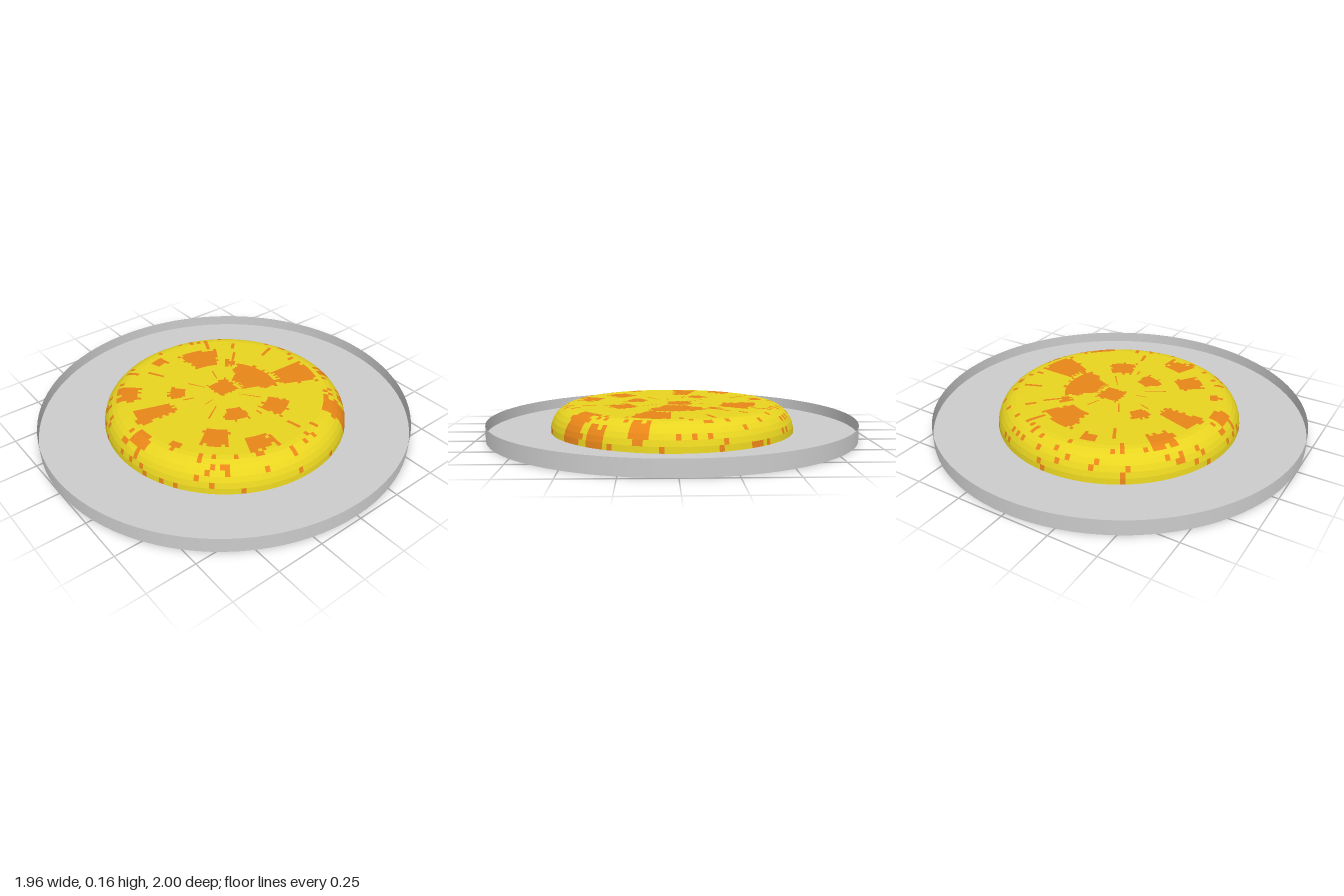
import * as THREE from 'three';

const SEGMENTS = 160, FLAT_RINGS = 27, RIM_RINGS = 7;
const FLAT_RADIUS = 0.525, RIM_WIDTH = 0.125, TOP = 0.157, FLOOR = 0.02;

// Browned patches: x, z, half width across the radius, half length along it
const patches = [
  [-0.04, -0.02, 0.062, 0.062], [-0.02, -0.2, 0.115, 0.095], [-0.34, -0.1, 0.09, 0.085],
  [0.1, -0.41, 0.085, 0.1], [0.26, -0.13, 0.065, 0.065], [0.19, 0.08, 0.055, 0.055],
  [0.28, 0.28, 0.065, 0.065], [0.44, 0.14, 0.06, 0.055], [-0.15, 0.21, 0.05, 0.045],
  [-0.075, 0.4, 0.05, 0.11], [-0.3, 0.42, 0.075, 0.055], [-0.46, 0.11, 0.04, 0.035],
  [0.05, 0.57, 0.05, 0.04], [0.2, 0.47, 0.035, 0.025], [0.46, -0.38, 0.07, 0.07],
  [0.16, -0.58, 0.045, 0.04], [-0.21, -0.2, 0.03, 0.03], [0.37, -0.51, 0.05, 0.02],
];
// Radial streaks one cell wide: x, z, half length
const streaks = [
  [-0.18, -0.44, 0.05], [-0.44, -0.22, 0.045], [-0.36, 0.2, 0.05], [-0.24, 0.24, 0.03],
  [-0.25, -0.27, 0.04], [0.44, -0.1, 0.04], [0.47, 0.06, 0.05], [0.26, -0.03, 0.02],
  [-0.53, -0.16, 0.02], [0.11, 0.17, 0.06], [-0.07, 0.2, 0.03], [-0.34, -0.33, 0.025],
  [-0.45, 0.3, 0.03], [0.11, -0.08, 0.05], [0.5, -0.17, 0.03], [-0.02, -0.5, 0.02],
  [0.35, 0.42, 0.02], [-0.14, 0.08, 0.05], [0.03, -0.1, 0.04], [0.06, 0.06, 0.05],
  [-0.17, -0.06, 0.04], [0.02, 0.12, 0.03],
];
const cellHalfAngle = Math.PI / SEGMENTS;
const marks = [
  ...patches,
  ...streaks.map(([x, z, l]) => [x, z, cellHalfAngle * Math.hypot(x, z), l]),
];

// Repeatable value from 0 to 1 for one cell
function hash(i, j) {
  const s = Math.sin(i * 127.1 + j * 311.7) * 43758.5453;
  return s - Math.floor(s);
}

// Is the cell centre inside a patch, or a small speck on the rim?
function isBrowned(r, angle, ring, seg) {
  if (ring >= FLAT_RINGS && hash(ring, seg) < 0.08) return true;
  return marks.some(([x, z, across, along]) => {
    const mr = Math.hypot(x, z);
    if (mr < 0.1 && across > 0.02) {
      return Math.max(Math.abs(r * Math.cos(angle) - x), Math.abs(r * Math.sin(angle) - z)) < across;
    }
    let d = angle - Math.atan2(z, x);
    d = Math.atan2(Math.sin(d), Math.cos(d));
    // staggered edges give the wide patches a ragged outline
    const wobble = (cell) => across > 0.02 ? 0.85 + 0.25 * hash(cell, Math.round(mr * 50)) : 1;
    return Math.abs(r - mr) < along * wobble(seg) && Math.abs(d) * mr < across * wobble(ring);
  });
}

export function createModel() {
  const group = new THREE.Group();

  // Slightly oval tray: thin floor with a thin upright wall
  const grey = new THREE.MeshStandardMaterial({ color: 0xcccccc, side: THREE.DoubleSide });
  const addTrayPart = (name, height, openEnded) => {
    const mesh = new THREE.Mesh(new THREE.CylinderGeometry(1, 1, height, 96, 1, openEnded), grey);
    mesh.name = name;
    mesh.scale.x = 0.978;
    mesh.position.y = height / 2;
    group.add(mesh);
  };
  addTrayPart('trayFloor', FLOOR, false);
  addTrayPart('trayWall', 0.08, true);

  // Bread profile: flat top, then a rounded rim down to the tray floor
  const profile = [];
  for (let i = 0; i <= FLAT_RINGS; i++) profile.push([FLAT_RADIUS * i / FLAT_RINGS, TOP]);
  for (let i = 1; i <= RIM_RINGS; i++) {
    const a = (Math.PI / 2) * (1 - i / RIM_RINGS);
    profile.push([FLAT_RADIUS + RIM_WIDTH * Math.cos(a), FLOOR + (TOP - FLOOR) * Math.sin(a)]);
  }

  // Polar cells shared out between the plain and the browned surface
  const plain = [], browned = [];
  for (let i = 0; i < profile.length - 1; i++) {
    const [r0, y0] = profile[i], [r1, y1] = profile[i + 1];
    for (let j = 0; j < SEGMENTS; j++) {
      const a0 = j / SEGMENTS * Math.PI * 2, a1 = (j + 1) / SEGMENTS * Math.PI * 2;
      const p = (r, y, a) => [r * Math.cos(a), y, r * Math.sin(a)];
      const target = isBrowned((r0 + r1) / 2, (a0 + a1) / 2, i, j) ? browned : plain;
      const A = p(r0, y0, a0), B = p(r1, y1, a0), C = p(r1, y1, a1), D = p(r0, y0, a1);
      target.push(...A, ...C, ...B);
      if (i > 0) target.push(...A, ...D, ...C);
    }
  }
  const addSurface = (name, positions, color) => {
    const geometry = new THREE.BufferGeometry();
    geometry.setAttribute('position', new THREE.Float32BufferAttribute(positions, 3));
    geometry.computeVertexNormals();
    const mesh = new THREE.Mesh(geometry, new THREE.MeshStandardMaterial({ color }));
    mesh.name = name;
    group.add(mesh);
  };
  addSurface('flatbread', plain, 0xe8d420);
  addSurface('brownedPatches', browned, 0xe88518);

  return group;
}
